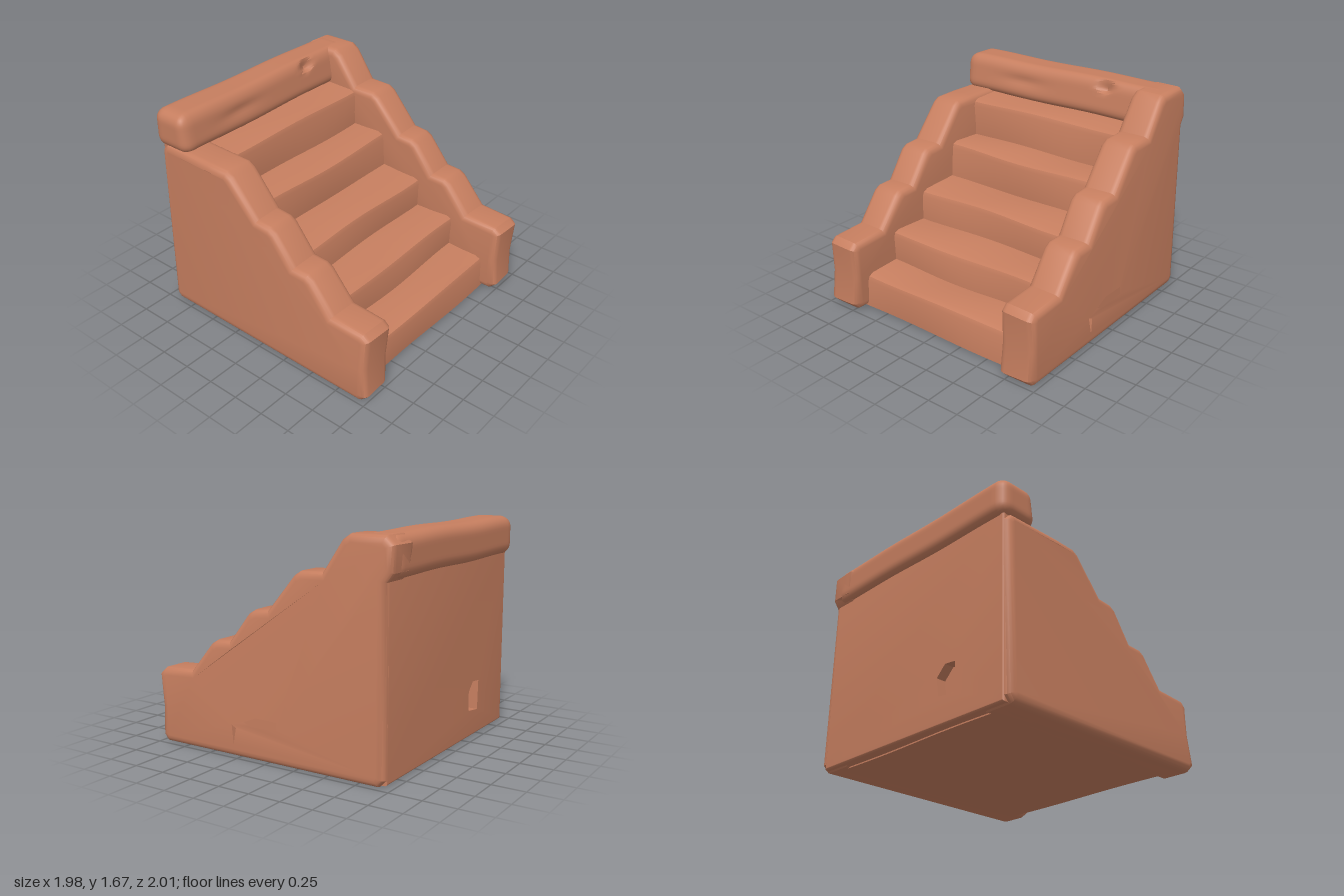
import * as THREE from 'three';
import { mergeVertices, toCreasedNormals } from 'three/addons/utils/BufferGeometryUtils.js';

const pts = (list) => list.map(([x, y]) => new THREE.Vector2(x, y));

// Move every vertex by a rule, then smooth the soft edges
function sculpt(geo, rule, crease = 0.6) {
  geo.deleteAttribute('uv');
  geo.deleteAttribute('normal');
  const g = mergeVertices(geo, 1e-4);
  const p = g.attributes.position;
  const v = new THREE.Vector3();
  for (let i = 0; i < p.count; i++) {
    rule(v.fromBufferAttribute(p, i));
    p.setXYZ(i, v.x, v.y, v.z);
  }
  return toCreasedNormals(g, crease);
}

// Outline moved inwards by d (counter-clockwise points)
function inset(outline, d) {
  const n = outline.length;
  return outline.map((p, i) => {
    const a = p.clone().sub(outline[(i + n - 1) % n]).normalize();
    const b = outline[(i + 1) % n].clone().sub(p).normalize();
    const m = new THREE.Vector2(-a.y - b.y, a.x + b.x);
    return p.clone().addScaledVector(m, d / (1 + a.dot(b)));
  });
}

// Slab with rounded rims from z = 0 to depth; holes are pockets in the z = 0 face
function slab(outline, depth, r, holes = [], pocket = 0.06) {
  const pos = [];
  const tri = (...c) => c.forEach(([p, w]) => pos.push(p.x, p.y, w));
  const rings = [];
  const steps = 4;
  for (let k = 0; k <= steps; k++) {
    const a = (k / steps) * Math.PI / 2;
    rings.push([inset(outline, r * (1 - Math.sin(a))), r * (1 - Math.cos(a))]);
  }
  for (let k = steps; k >= 0; k--) rings.push([rings[k][0], depth - rings[k][1]]);
  const n = outline.length;
  for (let k = 0; k < rings.length - 1; k++) {
    const [A, wa] = rings[k], [B, wb] = rings[k + 1];
    for (let i = 0; i < n; i++) {
      const j = (i + 1) % n;
      tri([A[i], wa], [A[j], wa], [B[j], wb]);
      tri([A[i], wa], [B[j], wb], [B[i], wb]);
    }
  }
  const face = rings[0][0];
  const all = [...face, ...holes.flat()];
  for (const [a, b, c] of THREE.ShapeUtils.triangulateShape(face.slice(), holes.map((h) => h.slice())))
    tri([all[a], 0], [all[c], 0], [all[b], 0]);
  for (const [a, b, c] of THREE.ShapeUtils.triangulateShape(face.slice(), []))
    tri([face[a], depth], [face[b], depth], [face[c], depth]);
  for (const h of holes) {
    for (let i = 0; i < h.length; i++) {
      const a = h[i], b = h[(i + 1) % h.length];
      tri([a, 0], [b, pocket], [b, 0]);
      tri([a, 0], [a, pocket], [b, pocket]);
      if (i > 0 && i < h.length - 1) tri([h[0], pocket], [b, pocket], [a, pocket]);
    }
  }
  const g = new THREE.BufferGeometry();
  g.setAttribute('position', new THREE.Float32BufferAttribute(pos, 3));
  return g;
}

// Hand-worn unevenness of the side walls
const wear = (v) => {
  v.x *= 1 - 0.014 * v.y;
  v.x += 0.007 * Math.sin(9 * v.y + 4 * v.z);
  if (v.y > 0.03) v.z += 0.005 * Math.sin(11 * v.x + 6 * v.y);
};

export function createModel() {
  const model = new THREE.Group();
  const clay = new THREE.MeshStandardMaterial({ color: 0xc67e5f });
  clay.name = 'terracotta';
  const add = (name, geo) => {
    const mesh = new THREE.Mesh(geo, clay);
    mesh.name = name;
    model.add(mesh);
  };

  // Side walls: stepped profile as (z, y)
  const slope = [
    [0.95, 0], [1, 0.05], [0.985, 0.28], [1, 0.53], [0.95, 0.575], [0.68, 0.59],
    [0.5, 0.81], [0.45, 0.84], [0.33, 0.845], [0.17, 1.06], [0.12, 1.09], [0, 1.1],
    [-0.22, 1.36], [-0.27, 1.39], [-0.45, 1.395],
  ];
  const foot = [[-0.945, 0.05], [-0.9, 0]];
  const tallTop = [[-0.61, 1.62], [-0.67, 1.66], [-0.94, 1.66], [-1, 1.6], [-0.99, 1.42], [-0.945, 1.36]];
  const lowTop = [[-0.89, 1.395], [-0.945, 1.34]];
  const gash = pts([[0.2, 0.275], [0.13, 0.25], [-0.1, 0.265], [-0.1, 0.32], [0.09, 0.32]]);
  const crack = pts([[0.29, 0.1], [0.31, 0.24], [0.27, 0.22]]);

  const leftWall = slab(pts([...slope, ...tallTop, ...foot]), 0.285, 0.055, [gash, crack]);
  leftWall.rotateY(-Math.PI / 2).translate(0.985, 0, 0);
  add('leftWall', sculpt(leftWall, wear));
  const rightWall = slab(pts([...slope, ...lowTop, ...foot]), 0.285, 0.055);
  rightWall.rotateY(-Math.PI / 2).translate(-0.7, 0, 0);
  add('rightWall', sculpt(rightWall, wear));

  // Staircase between the walls: riser front z and tread height
  const treads = [[0.87, 0.28], [0.56, 0.53], [0.22, 0.78], [-0.14, 1.07], [-0.44, 1.37]];
  const profile = [[-0.87, 0]];
  let base = 0;
  for (const [z, top] of treads) {
    profile.push([z, base], [z, top - 0.05], [z - 0.012, top - 0.018], [z - 0.05, top]);
    base = top;
  }
  profile.push([-0.87, base]);
  const stairs = new THREE.ExtrudeGeometry(new THREE.Shape(pts(profile)), { depth: 1.7, steps: 14, bevelEnabled: false });
  stairs.rotateY(-Math.PI / 2).translate(0.85, 0, 0);
  add('stairs', sculpt(stairs, (v) => {
    v.z += 0.008 * Math.sin(4 * v.x + 7 * v.y);
    if (v.y > 0.03) v.y += 0.007 * Math.sin(5 * v.x + 9 * v.z);
  }));

  // Back panel with a chipped hole
  const chip = pts([[-0.47, 0.2], [-0.32, 0.22], [-0.3, 0.36], [-0.38, 0.44], [-0.48, 0.43]]);
  const panel = slab(pts([[-0.93, 0.01], [0.93, 0.01], [0.93, 1.45], [-0.93, 1.45]]), 0.1, 0.015, [chip], 0.075);
  add('backPanel', panel && sculpt(panel.translate(0, 0, -0.95), () => {}, 0.4));

  // Top beam: a rounded bar with a worn front and a notch
  const size = new THREE.Vector3(1.88, 0.3, 0.35), radius = 0.085;
  const inner = size.clone().multiplyScalar(0.5).subScalar(radius);
  const notch = new THREE.Vector3(0.4, 1.61, -0.72);
  const beam = new THREE.BoxGeometry(size.x, size.y, size.z, 48, 14, 14);
  add('topBeam', sculpt(beam, (v) => {
    const core = v.clone().clamp(inner.clone().negate(), inner);
    v.sub(core);
    if (v.lengthSq() > 0) v.setLength(radius);
    v.add(core);
    // lean the front back towards the top and towards the left end
    if (v.z > 0) v.z -= (v.z / 0.175) * (0.15 * (v.y + 0.15) + 0.02 * (v.x + 0.94));
    v.add(new THREE.Vector3(-0.03, 1.515, -0.822));
    v.y += 0.004 * Math.sin(6 * v.x);
    const dent = Math.exp(-(((v.x + 0.38) / 0.2) ** 2) - ((v.y - 1.52) / 0.04) ** 2);
    if (v.z > -0.8) v.z -= 0.015 * dent;
    const d = Math.hypot((v.x - notch.x) / 0.09, (v.y - notch.y) / 0.06, (v.z - notch.z) / 0.06);
    if (d < 1) {
      v.y -= 0.04 * (1 - d);
      v.z -= 0.05 * (1 - d);
    }
  }));

  return model;
}
